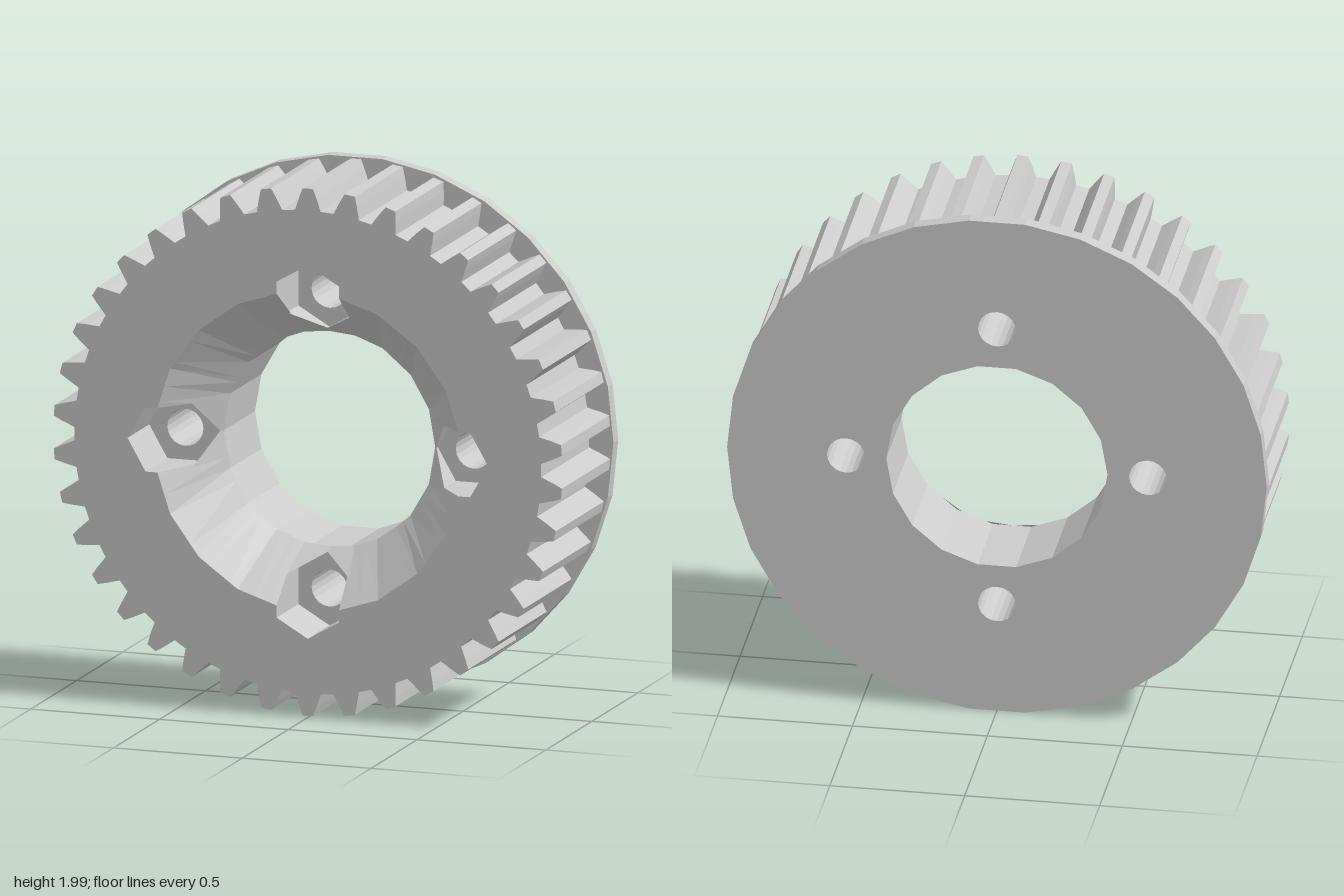
import * as THREE from 'three';

const FRONT = 0.287, FLOOR = 0.05, FLANGE = -0.235, BACK = -0.287;
const BORE = 0.41, MOUTH = 0.6;      // straight bore and wide end of the cone
const BOLT = 0.56, HEX = 0.14, HALF = HEX * Math.sqrt(3) / 2;
const TEETH = 38;
const rad = THREE.MathUtils.degToRad;

// radius of a regular polygon in a given direction (degrees)
function polyRadius(deg, r, n, offset) {
  const step = 360 / n;
  const a = THREE.MathUtils.euclideanModulo(deg - offset, step) - step / 2;
  return r * Math.cos(rad(step / 2)) / Math.cos(rad(a));
}
const polar = (deg, r) => new THREE.Vector2(r * Math.cos(rad(deg)), r * Math.sin(rad(deg)));
// point at (radial, tangential) distances, turned to a direction
const turned = (deg, radial, t) => new THREE.Vector2(radial, t).rotateAround(new THREE.Vector2(), rad(deg));
const ring = (n, r, cx = 0, cy = 0) =>
  Array.from({ length: n }, (_, i) => polar(i * 360 / n, r).add(new THREE.Vector2(cx, cy)));

const inner = (deg) => polyRadius(deg, BORE, 18, 0);
const outer = (deg) => polyRadius(deg, MOUTH, 20, 9);

// lift a flat point onto the cone
function onCone(p) {
  const deg = THREE.MathUtils.radToDeg(Math.atan2(p.y, p.x));
  const k = (p.length() - inner(deg)) / (outer(deg) - inner(deg));
  return new THREE.Vector3(p.x, p.y, THREE.MathUtils.lerp(FLOOR, FRONT, THREE.MathUtils.clamp(k, 0, 1)));
}

// faceted strip through pairs of points
function strip(pairs) {
  const pts = [];
  for (let i = 0; i + 1 < pairs.length; i++) {
    const [a, b] = pairs[i], [c, d] = pairs[i + 1];
    pts.push(a, b, d, a, d, c);
  }
  const g = new THREE.BufferGeometry().setFromPoints(pts);
  g.computeVertexNormals();
  return g;
}

function slab(outline, holes, z0, z1) {
  const shape = new THREE.Shape(outline);
  shape.holes = holes.map((h) => new THREE.Path(h));
  return new THREE.ExtrudeGeometry(shape, { depth: z1 - z0, bevelEnabled: false }).translate(0, 0, z0);
}

// toothed outline, one tooth on top
function gearOutline() {
  const pts = [];
  const profile = [[0.905, -0.05], [0.955, -0.033], [0.988, -0.02], [0.988, 0.02], [0.955, 0.033], [0.905, 0.05]];
  for (let i = 0; i < TEETH; i++)
    for (const [r, t] of profile) pts.push(turned(90 + i * 360 / TEETH, r, t));
  return pts;
}

export function createModel() {
  const model = new THREE.Group();
  const gear = new THREE.Group();
  gear.name = 'gear';
  gear.position.y = 0.995;
  model.add(gear);
  const material = new THREE.MeshStandardMaterial({ color: 0xcccccc, flatShading: true, side: THREE.DoubleSide });
  const add = (name, geometry) => {
    const mesh = new THREE.Mesh(geometry, material);
    mesh.name = name;
    gear.add(mesh);
  };

  // flange and rear half of the gear, with straight bore and bolt holes
  const holes = [ring(18, BORE)];
  for (let q = 0; q < 360; q += 90) {
    const c = polar(q, BOLT);
    holes.push(ring(20, 0.07, c.x, c.y));
  }
  const teeth = gearOutline();
  add('flange', slab(ring(30, 1), holes, BACK, FLANGE));
  add('rearGearBody', slab(teeth, holes, FLANGE, FLOOR));

  // front half: mouth of the cone joined with four hexagonal nut pockets
  const near = BOLT - HEX / 2, far = BOLT + HEX / 2, cross = 0.584;
  const corner = THREE.MathUtils.radToDeg(Math.atan2(HALF, near));
  const samples = [corner, 20, 27, 40, 45, 50, 60, 63, 70, 90 - corner];
  const mouth = [], cone = [];
  for (let q = 0; q < 360; q += 90) {
    const n = q + 90;
    const arc = samples.map((s) => polar(q + s, outer(q + s)));
    mouth.push(turned(q, BOLT + HEX, 0), turned(q, far, HALF), turned(q, cross, HALF),
      ...arc, turned(n, cross, -HALF), turned(n, far, -HALF));

    // cone surface, running around the pockets
    const bore = (d) => polar(d, inner(d));
    const v0 = turned(q, near, HALF), v1 = turned(n, near, -HALF);
    cone.push(
      [bore(q), turned(q, BOLT - HEX, 0)], [bore(q + corner), v0],
      [v0, turned(q, cross, HALF)], [v0, arc[0]],
      ...samples.map((s, i) => [bore(q + s), arc[i]]),
      [v1, arc[arc.length - 1]], [v1, turned(n, cross, -HALF)],
      [bore(n - corner), v1], [bore(n), turned(n, BOLT - HEX, 0)]);

    // low inner walls of a pocket, cut off by the cone
    const path = [[cross, HALF], [near, HALF], [BOLT - HEX, 0], [near, -HALF], [cross, -HALF]];
    add('nutPocketWall', strip(path.map(([r, t]) => {
      const p = turned(q, r, t);
      return [new THREE.Vector3(p.x, p.y, FLOOR), onCone(p)];
    })));
  }
  add('frontGearBody', slab(teeth, [mouth], FLOOR, FRONT));
  add('conicalBore', strip(cone.map((pair) => pair.map(onCone))));
  return model;
}
